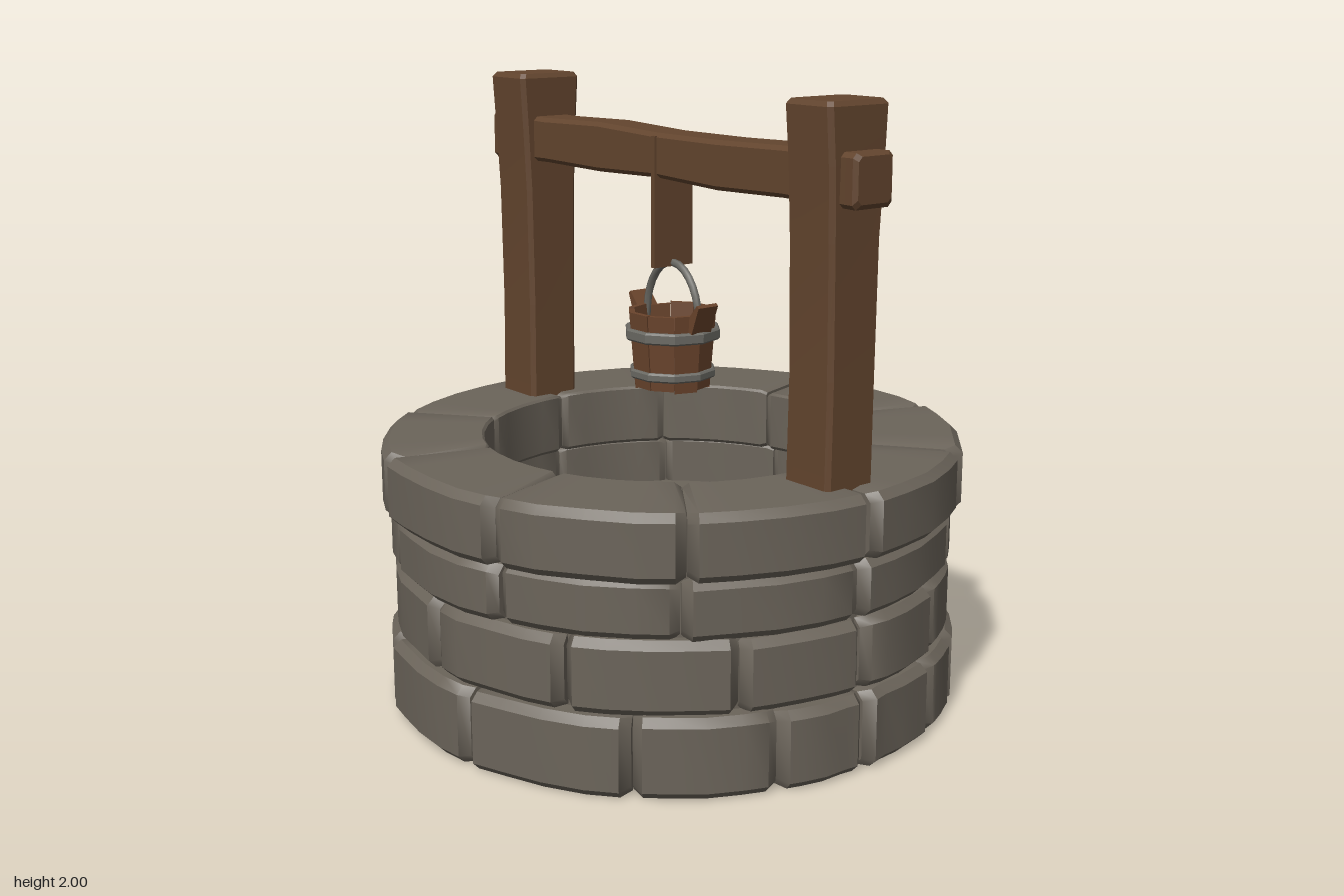
import * as THREE from 'three';
import { toCreasedNormals } from 'three/addons/utils/BufferGeometryUtils.js';

const mat = (name, color) => {
  const m = new THREE.MeshStandardMaterial({ color });
  m.name = name;
  return m;
};
const V = (x, y, z) => new THREE.Vector3(x, y, z);
const rad = THREE.MathUtils.degToRad;

// Small seeded generator for hand-cut irregularity
let seed = 7;
const wobble = (amount) => {
  seed = (seed * 16807) % 2147483647;
  return (seed / 2147483647 - 0.5) * 2 * amount;
};

// Rectangle with cut corners, counter-clockwise in (u, v)
const cutRect = (u0, u1, v0, v1, c) => [
  [u1 - c, v0], [u1, v0 + c], [u1, v1 - c], [u1 - c, v1],
  [u0 + c, v1], [u0, v1 - c], [u0, v0 + c], [u0 + c, v0],
];

// Solid skin through a row of matching cross-sections, capped at both ends
function loft(rings, crease = 0.5) {
  const pos = [];
  const tri = (...pts) => pts.forEach((p) => pos.push(p.x, p.y, p.z));
  const n = rings[0].length;
  for (let i = 0; i < rings.length - 1; i++) {
    for (let j = 0; j < n; j++) {
      const k = (j + 1) % n, a = rings[i], b = rings[i + 1];
      tri(a[j], b[j], a[k]);
      tri(a[k], b[j], b[k]);
    }
  }
  const first = rings[0], last = rings[rings.length - 1];
  for (let j = 1; j < n - 1; j++) {
    tri(first[0], first[j], first[j + 1]);
    tri(last[0], last[j + 1], last[j]);
  }
  const g = new THREE.BufferGeometry();
  g.setAttribute('position', new THREE.Float32BufferAttribute(pos, 3));
  return toCreasedNormals(g, crease);
}

// Point at angle a, measured from the front towards the model's left
const polar = (r, y, a) => V(r * Math.sin(a), y, r * Math.cos(a));

function add(parent, name, geometry, material) {
  const m = new THREE.Mesh(geometry, material);
  m.name = name;
  parent.add(m);
  return m;
}

// One curved block with worn outer edges and slightly narrowed ends
function stoneGeometry(a0, a1, r0, r1, y0, y1) {
  const out = r1 + wobble(0.006), top = y1 + wobble(0.004);
  const rings = [];
  const edge = 0.032 / r1, gap = 0.002;
  const stations = [a0 + gap, a0 + gap + edge];
  for (let i = 1; i < 4; i++) stations.push(a0 + ((a1 - a0) * i) / 4);
  stations.push(a1 - gap - edge, a1 - gap);
  stations.forEach((a, i) => {
    const end = i === 0 || i === stations.length - 1;
    const cut = end ? 0.03 + wobble(0.008) : 0;
    const o = out - cut + (end ? 0 : wobble(0.006));
    const c = 0.025, low = y0 + cut * 0.25, high = top - cut * 0.35, inner = r0 + cut * 0.35;
    const section = [
      [o - c, low], [o, low + c], [o, high - c], [o - c, high],
      [inner + 0.008, high], [inner, high - 0.008], [inner, low + 0.012], [inner + 0.012, low],
    ];
    rings.push(section.map(([r, y]) => polar(r, y, a)));
  });
  return loft(rings, 0.7);
}

export function createModel() {
  seed = 7;
  const stone = mat('stone', 0x6b645a);
  const wood = mat('timber', 0x63452e);
  const bucketWood = mat('bucket wood', 0x6a442c);
  const metal = mat('metal', 0x6a6963);
  const model = new THREE.Group();
  model.name = 'well';

  // Four courses of stone, with joint angles in degrees
  const tens = (start) => Array.from({ length: 10 }, (_, i) => start + i * 36);
  const courses = [
    { y: [0, 0.25], r: [0.66, 0.94], joints: [-43, -22, 10, 44, 71, 90, 111, 126, 156, 182, 208, 235, 262, 290] },
    { y: [0.25, 0.48], r: [0.65, 0.917], joints: [-35, -1, 31, 64, 90, 114, 136, 166, 200, 232, 266, 298] },
    { y: [0.48, 0.665], r: [0.65, 0.917], joints: tens(17) },
    { y: [0.665, 0.875], r: [0.615, 0.947], joints: tens(18) },
  ];
  const wall = new THREE.Group();
  wall.name = 'stoneWall';
  model.add(wall);
  courses.forEach(({ y, r, joints }) => {
    joints.forEach((a, i) => {
      const next = i + 1 < joints.length ? joints[i + 1] : joints[0] + 360;
      add(wall, 'stoneBlock', stoneGeometry(rad(a), rad(next), ...r, ...y), stone);
    });
  });

  // Core that closes the joints, and the well floor
  const core = [[0.69, 0.02], [0.87, 0.02], [0.87, 0.84], [0.69, 0.84], [0.69, 0.02]];
  add(wall, 'wallCore', toCreasedNormals(
    new THREE.LatheGeometry(core.map(([r, y]) => new THREE.Vector2(r, y)), 40), 0.5), stone);
  add(model, 'wellFloor', new THREE.CylinderGeometry(0.7, 0.7, 0.01, 40), stone).position.y = 0.5;

  // Posts, widening towards the top: height, half width, front z, back z
  const postRings = [
    [0.85, 0.096, 0.1, -0.09], [1.2, 0.094, 0.095, -0.095], [1.6, 0.095, 0.1, -0.1],
    [1.82, 0.097, 0.11, -0.11], [1.985, 0.098, 0.12, -0.12], [2, 0.088, 0.11, -0.11],
  ];
  for (const side of [-1, 1]) {
    const rings = postRings.map(([y, w, zf, zb]) => {
      const s = wobble(0.003);
      return cutRect(-w + s, w + s, zb, zf, 0.014).map(([x, z]) => V(side * 0.754 + x, y, z));
    });
    add(model, side > 0 ? 'leftPost' : 'rightPost', loft(rings, 0.3), wood);
  }

  // Crossbeam with worn ends: x, bottom, top, half depth
  const beamRings = [
    [-0.912, 1.715, 1.85, 0.066], [-0.9, 1.7, 1.86, 0.078], [-0.6, 1.705, 1.855, 0.074],
    [-0.3, 1.7, 1.862, 0.072], [0, 1.708, 1.85, 0.07], [0.3, 1.697, 1.85, 0.073],
    [0.6, 1.705, 1.857, 0.074], [0.9, 1.7, 1.86, 0.078], [0.912, 1.715, 1.85, 0.066],
  ];
  add(model, 'crossbeam', loft(beamRings.map(([x, y0, y1, d]) =>
    cutRect(-d, d, y0, y1, 0.014).map(([z, y]) => V(x, y, z))), 0.3), wood);

  // Flat hanging strap, showing just proud of the beam
  add(model, 'hangingStrap', new THREE.BoxGeometry(0.018, 0.42, 0.156), wood).position.set(0.003, 1.63, 0);

  // Bucket of tapered staves
  const bucket = new THREE.Group();
  bucket.name = 'bucket';
  bucket.position.x = 0.006;
  model.add(bucket);
  const radiusAt = (y) => 0.126 + (y - 1.02) * 0.08;
  const count = 10;
  for (let i = 0; i < count; i++) {
    const y0 = 1.022 + Math.abs(wobble(0.008)), y1 = 1.272 + wobble(0.007), push = wobble(0.002);
    const a = (i / count) * Math.PI * 2, h = Math.PI / count - 0.008;
    const ring = (b) => [
      [radiusAt(y0) + push, y0], [radiusAt(y1) + push, y1],
      [radiusAt(y1) - 0.018, y1], [radiusAt(y0) - 0.018, y0],
    ].map(([r, y]) => polar(r, y, b));
    add(bucket, 'stave', loft([ring(a - h), ring(a + h)], 0.2), bucketWood);
  }
  add(bucket, 'bucketBase', new THREE.CylinderGeometry(0.115, 0.112, 0.02, count), bucketWood).position.y = 1.04;

  // Metal bands
  for (const [y, height, out] of [[1.205, 0.038, 0.018], [1.075, 0.03, 0.013]]) {
    const r = radiusAt(y);
    const section = cutRect(r - 0.01, r + out, y - height / 2, y + height / 2, 0.006);
    section.push(section[0]);
    const g = new THREE.LatheGeometry(section.map(([u, v]) => new THREE.Vector2(u, v)), count);
    g.rotateY(Math.PI / count);
    add(bucket, 'metalBand', toCreasedNormals(g, 0.4), metal);
  }

  // Ears flaring outwards at both sides
  for (const side of [-1, 1]) {
    const ring = (z) => [[0.122, 1.22], [0.146, 1.22], [0.181, 1.31], [0.172, 1.318], [0.128, 1.268]]
      .map(([x, y]) => V(x, y, z));
    const g = loft([ring(0.04), ring(-0.04)], 0.2);
    if (side < 0) g.rotateY(Math.PI);
    add(bucket, 'bucketEar', g, bucketWood);
  }

  // Arched handle
  const arch = Array.from({ length: 9 }, (_, i) => {
    const t = (i / 8) * Math.PI;
    return V(0.135 * Math.cos(t), 1.24 + 0.192 * Math.sin(t), 0);
  });
  add(bucket, 'handle', new THREE.TubeGeometry(new THREE.CatmullRomCurve3(arch), 16, 0.013, 6), metal);

  return model;
}
